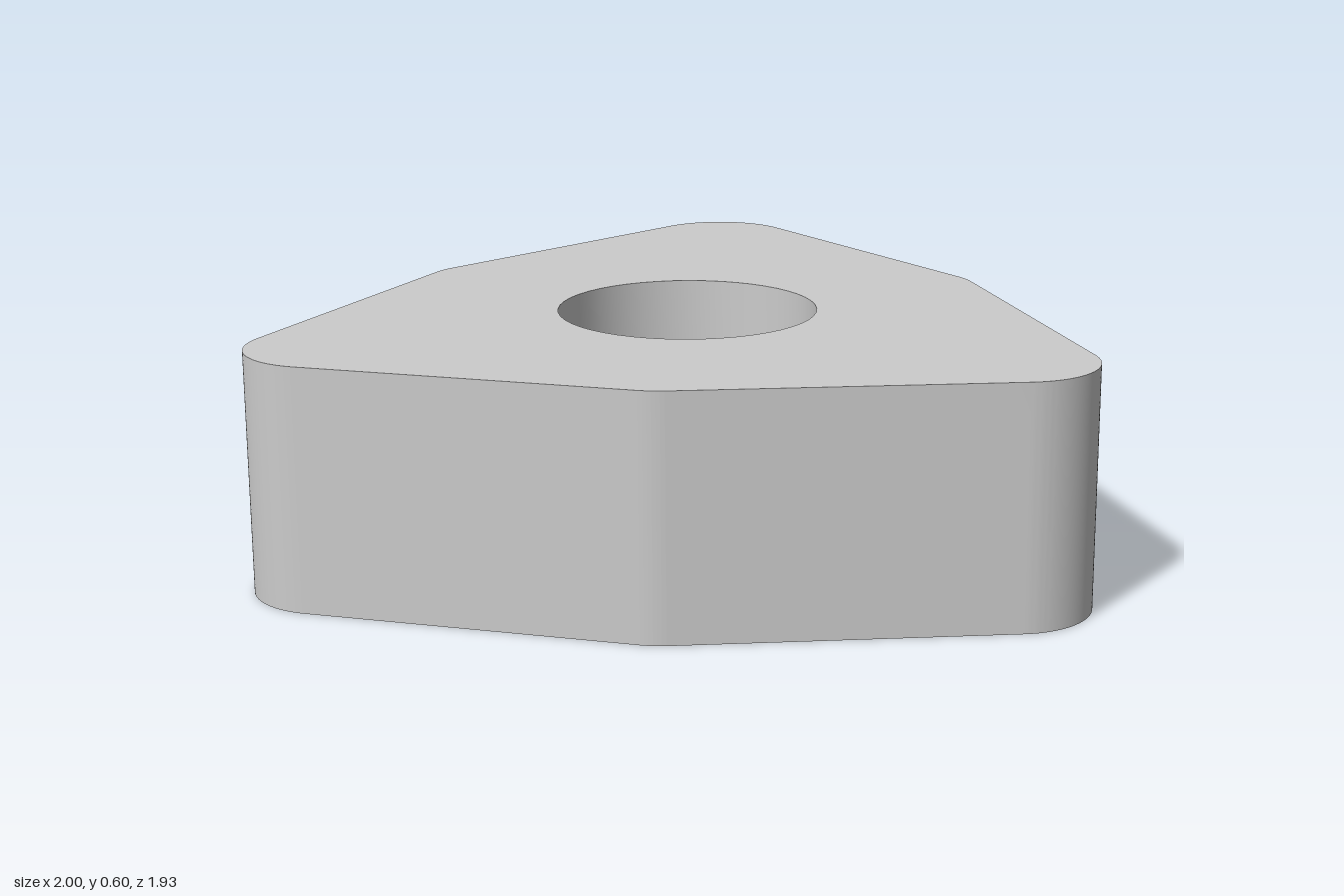
import * as THREE from 'three';
import { toCreasedNormals } from 'three/addons/utils/BufferGeometryUtils.js';

const rad = THREE.MathUtils.degToRad;

export function createModel() {
  const group = new THREE.Group();
  group.name = 'trigonInsert';

  const apothem = 0.803;   // centre to each of the six sides
  const noseRadius = 0.202; // sharp corners
  const bendRadius = 0.2;  // blunt corners
  const thickness = 0.602;
  const noseDistance = (apothem - noseRadius) / Math.sin(rad(40));
  const bendDistance = (apothem - bendRadius) / Math.cos(rad(10));

  // Outline: three 80 degree noses alternating with three 160 degree bends
  const outline = new THREE.Shape();
  const addArc = (angle, distance, radius, halfSweep) => outline.absarc(
    distance * Math.cos(rad(angle)), distance * Math.sin(rad(angle)),
    radius, rad(angle - halfSweep), rad(angle + halfSweep), false);
  for (const angle of [-140, -20, 100]) {
    addArc(angle, noseDistance, noseRadius, 50);
    addArc(angle + 60, bendDistance, bendRadius, 10);
  }
  outline.closePath();

  // Round through hole
  const hole = new THREE.Path();
  hole.absarc(0, 0, 0.327, 0, Math.PI * 2, true);
  outline.holes.push(hole);

  const geometry = new THREE.ExtrudeGeometry(outline, {
    depth: thickness, bevelEnabled: false, curveSegments: 24,
  });
  geometry.rotateX(-Math.PI / 2);

  const body = new THREE.Mesh(
    toCreasedNormals(geometry, rad(25)),
    new THREE.MeshStandardMaterial({ color: 0xcccccc }));
  body.name = 'insertBody';
  body.position.set(-0.081, 0, 0.16);
  group.add(body);
  return group;
}
